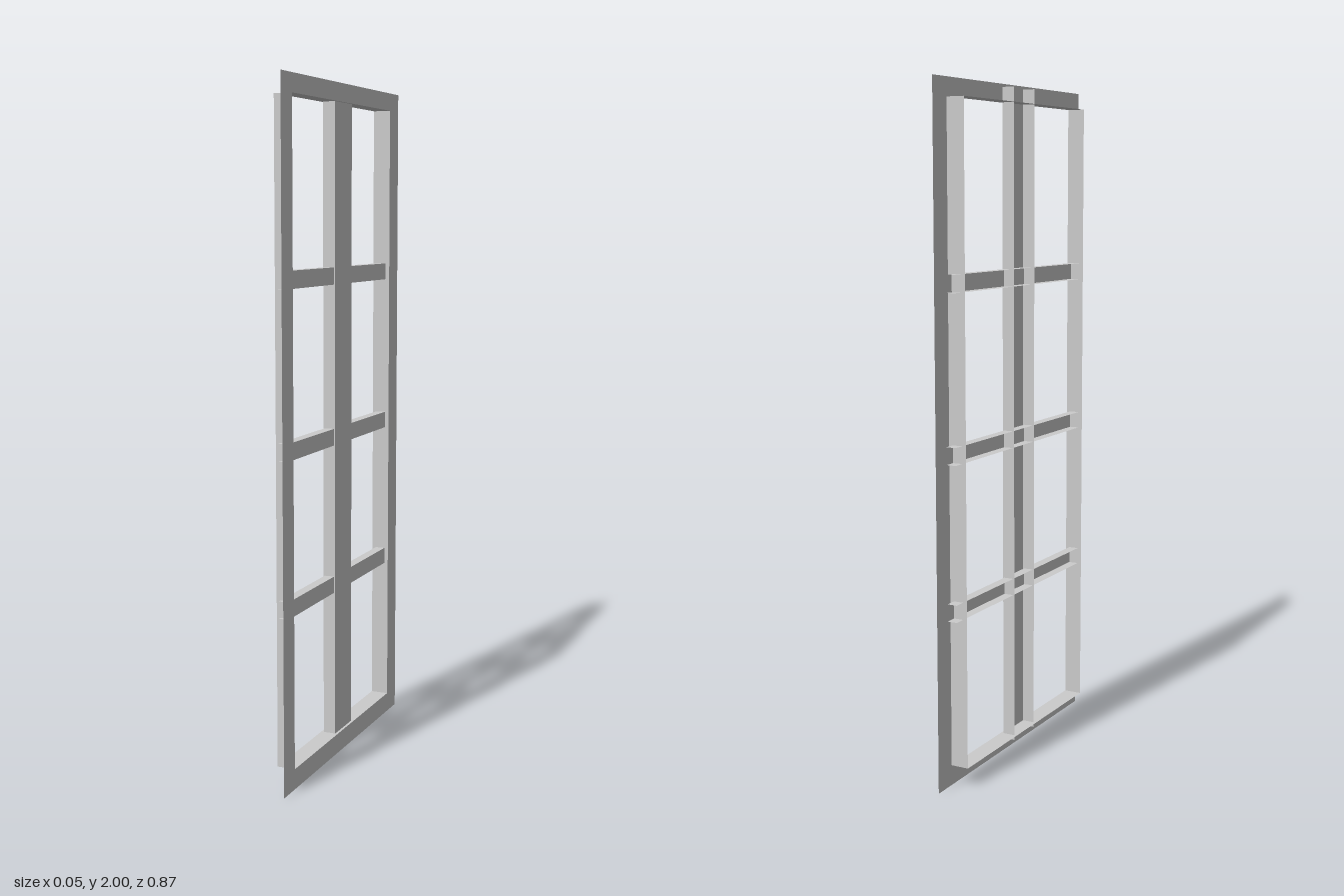
import * as THREE from 'three';

const material = new THREE.MeshStandardMaterial({ color: 0xcccccc, side: THREE.DoubleSide, flatShading: true });

// Flat sheet facing x, spanning z0..z1 and y0..y1, with an optional rectangular opening
function faceSheet(name, x, z0, z1, y0, y1, opening) {
  const rect = (Type, a, b, c, d) => {
    const path = new Type();
    path.moveTo(a, c).lineTo(b, c).lineTo(b, d).lineTo(a, d).closePath();
    return path;
  };
  const shape = rect(THREE.Shape, -z1, -z0, y0, y1);
  if (opening) {
    const [a, b, c, d] = opening;
    shape.holes.push(rect(THREE.Path, -b, -a, c, d));
  }
  const mesh = new THREE.Mesh(new THREE.ShapeGeometry(shape).rotateY(Math.PI / 2), material);
  mesh.position.x = x;
  mesh.name = name;
  return mesh;
}

// Upright flange facing z
function uprightFlange(name, z, x0, x1, y0, y1) {
  const mesh = new THREE.Mesh(new THREE.PlaneGeometry(x1 - x0, y1 - y0), material);
  mesh.position.set((x0 + x1) / 2, (y0 + y1) / 2, z);
  mesh.name = name;
  return mesh;
}

// Level flange facing y
function levelFlange(name, y, x0, x1, z0, z1) {
  const mesh = new THREE.Mesh(new THREE.PlaneGeometry(x1 - x0, z1 - z0).rotateX(-Math.PI / 2), material);
  mesh.position.set((x0 + x1) / 2, y, (z0 + z1) / 2);
  mesh.name = name;
  return mesh;
}

export function createModel() {
  const model = new THREE.Group();
  model.name = 'windowFrame';

  // Outer frame: flat face with a flange folded back around the opening
  const X = 0.027, Z = 0.365, bottom = 0.06, top = 1.947;
  const frame = new THREE.Group();
  frame.name = 'outerFrame';
  frame.add(faceSheet('frameFace', X, -0.437, 0.437, 0, 2, [-Z, Z, bottom, top]));
  for (const s of [-1, 1]) frame.add(uprightFlange('frameSideFlange', s * Z, -X, X, bottom, top));
  for (const y of [bottom, top]) frame.add(levelFlange('frameEndFlange', y, -X, X, -Z, Z));
  model.add(frame);

  // Central mullion: upright channel open to the back
  const mx = 0.019, mz = [-0.072, 0.053], my = [0.045, 1.99];
  const mullion = new THREE.Group();
  mullion.name = 'centralMullion';
  mullion.add(faceSheet('mullionFace', mx, ...mz, ...my));
  for (const z of mz) mullion.add(uprightFlange('mullionFlange', z, -mx, mx, ...my));
  model.add(mullion);

  // Glazing bars: level channels running through the mullion and the frame flange
  const bx = 0.015, bz = [-0.4, 0.377];
  for (const y of [0.5, 0.948, 1.423]) {
    const bar = new THREE.Group();
    bar.name = 'glazingBar';
    bar.add(faceSheet('barFace', bx, ...bz, y, y + 0.05));
    for (const edge of [y, y + 0.05]) bar.add(levelFlange('barFlange', edge, -bx, bx, ...bz));
    model.add(bar);
  }
  return model;
}
